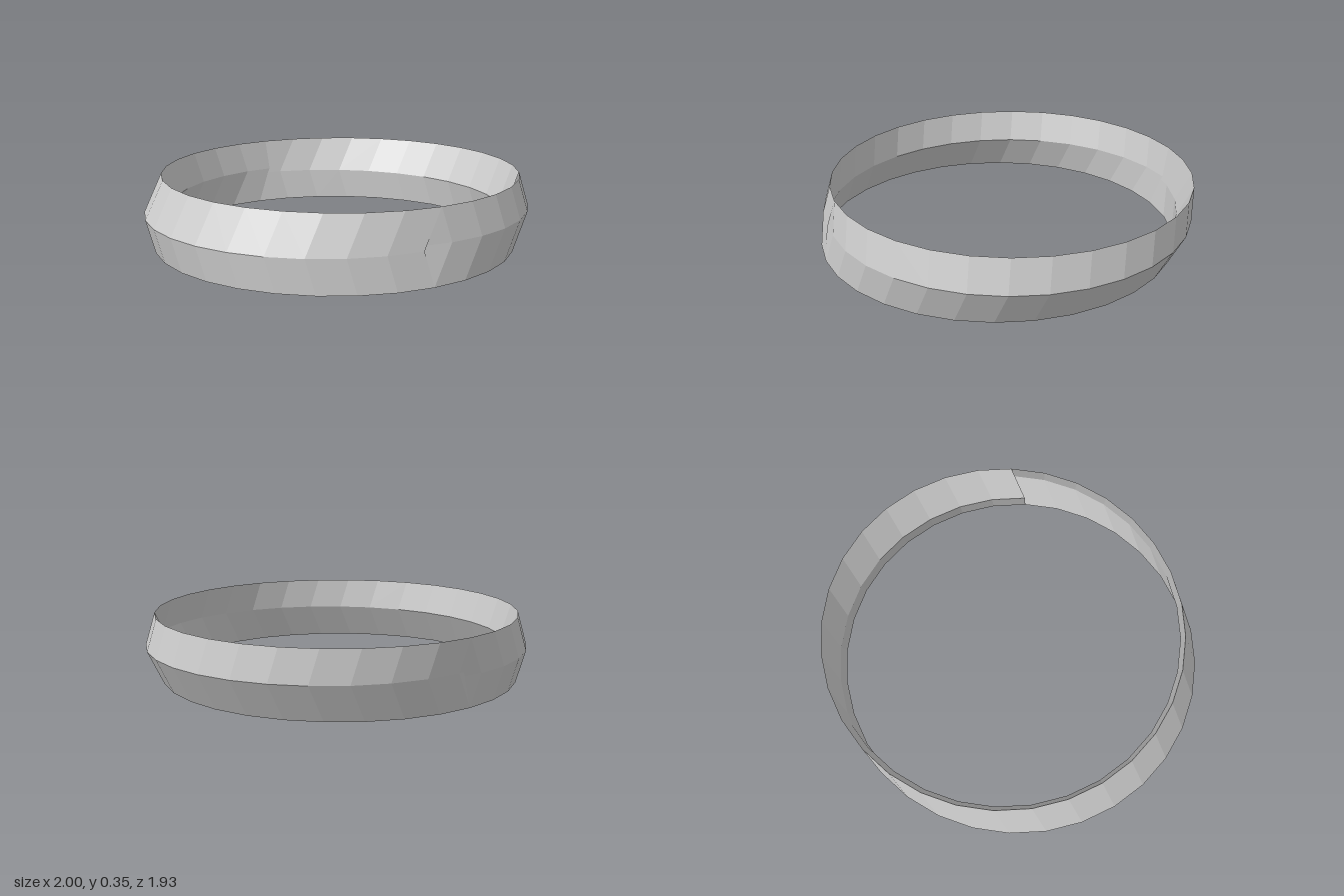
import * as THREE from 'three';

const SIDES = 32;
const R = 0.933;

// centres of the four equal circles that the bands span
const TOP = [0.04, 0.355, -0.012];
const OUTER = [0.067, 0.19, 0.03];
const BOTTOM = [-0.043, 0, 0.012];
const INNER = [-0.067, 0.167, -0.03];

// oblique band between two shifted circles, from step a to step b
function band(name, upper, lower, a, b, material) {
  const pos = [];
  const index = [];
  for (let i = a; i <= b; i++) {
    const t = (i / SIDES) * Math.PI * 2;
    for (const c of [upper, lower]) {
      pos.push(c[0] + R * Math.cos(t), c[1], c[2] + R * Math.sin(t));
    }
    if (i < b) {
      const k = (i - a) * 2;
      index.push(k, k + 2, k + 1, k + 1, k + 2, k + 3);
    }
  }
  const g = new THREE.BufferGeometry();
  g.setAttribute('position', new THREE.Float32BufferAttribute(pos, 3));
  g.setIndex(index);
  const flat = g.toNonIndexed();
  flat.computeVertexNormals();
  const mesh = new THREE.Mesh(flat, material);
  mesh.name = name;
  return mesh;
}

export function createModel() {
  const group = new THREE.Group();
  group.name = 'bangle';
  const material = new THREE.MeshStandardMaterial({
    color: 0xcccccc, flatShading: true, side: THREE.DoubleSide,
  });

  // full ridged band, shifted to the left
  group.add(band('upperFullBand', TOP, OUTER, 0, SIDES, material));
  group.add(band('lowerFullBand', OUTER, BOTTOM, 0, SIDES, material));

  // open ridged band, shifted the other way and ending at the seam
  group.add(band('upperOpenBand', TOP, INNER, 10, SIDES + 5, material));
  group.add(band('lowerOpenBand', INNER, BOTTOM, 10, SIDES + 5, material));

  return group;
}
